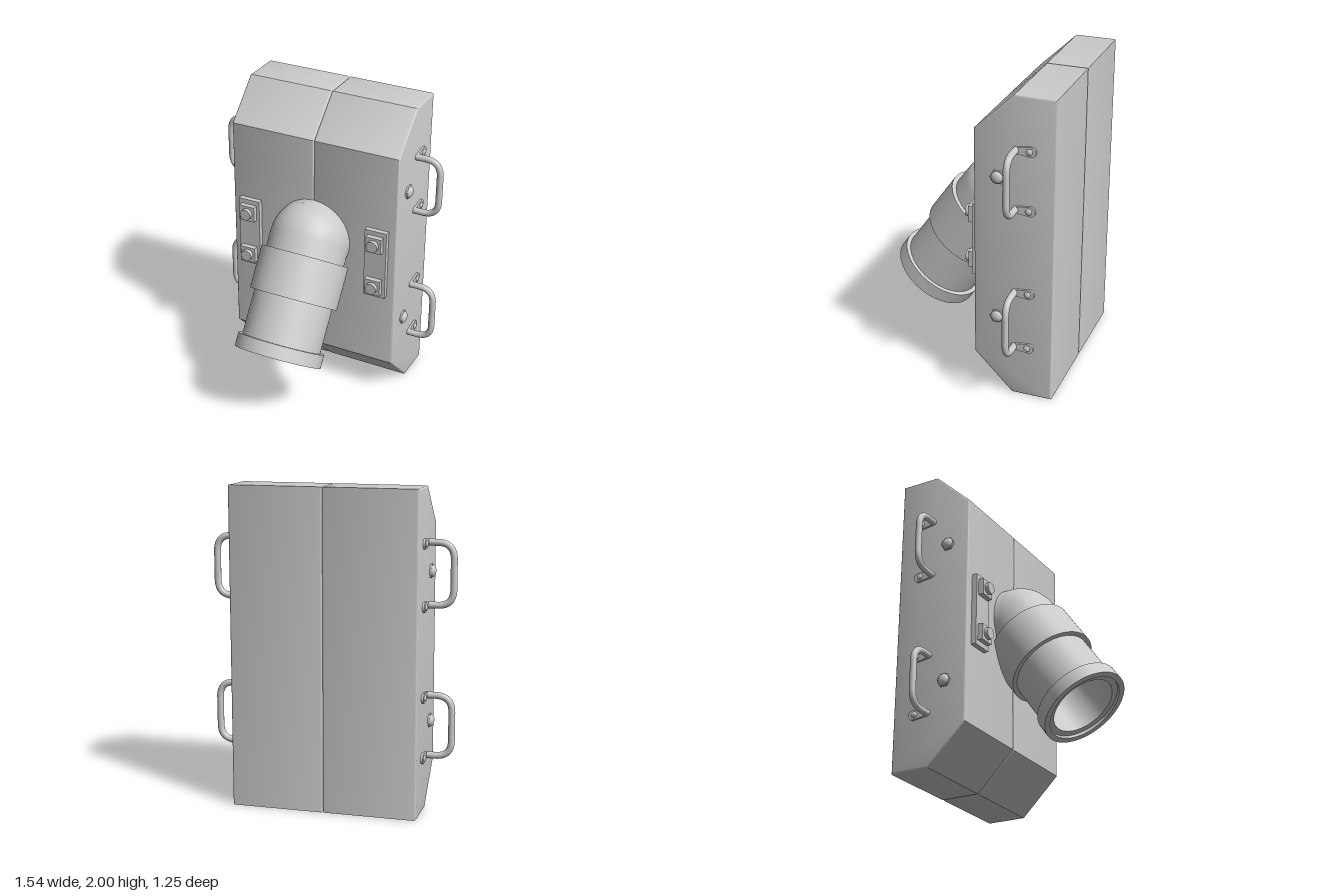
import * as THREE from 'three';
import { toCreasedNormals } from 'three/addons/utils/BufferGeometryUtils.js';

const grey = new THREE.MeshStandardMaterial({ color: 0xcccccc });
const W = 0.585; // half width of the case
const FRONT = -0.11; // front face of the case

function add(parent, name, geometry, x = 0, y = 0, z = 0) {
  const mesh = new THREE.Mesh(geometry, grey);
  mesh.name = name;
  mesh.position.set(x, y, z);
  parent.add(mesh);
  return mesh;
}

// One half of the case: chamfered side profile extruded across x
function caseHalfGeometry() {
  const b = 0.012;
  const shape = new THREE.Shape([
    [-0.62, 0], [-0.36, 0], [FRONT, 0.25], [FRONT, 1.76], [-0.36, 2], [-0.62, 2],
  ].map(([z, y]) => new THREE.Vector2(z, y)));
  const g = new THREE.ExtrudeGeometry(shape, {
    depth: W - 2 * b, bevelThickness: b, bevelSize: b, bevelOffset: -b, bevelSegments: 3,
  });
  g.translate(0, 0, b - W / 2);
  g.rotateY(-Math.PI / 2);
  return toCreasedNormals(g, 0.6);
}

// Slanted duct: bore, end flange, collar and tube turned around one axis
function addDuct(parent) {
  const duct = new THREE.Group();
  duct.name = 'duct';
  parent.add(duct);
  const profile = [
    [0, 0.7], [0.21, 0.7], [0.21, 0.02], [0.25, 0.02], [0.25, 0], [0.287, 0],
    [0.287, 0.09], [0.26, 0.09], [0.26, 0.388], [0.29, 0.388], [0.29, 0.672],
    [0.26, 0.672], [0.26, 0.787],
  ].map(([r, y]) => new THREE.Vector2(r, y));
  const tube = add(duct, 'ductTube',
    toCreasedNormals(new THREE.LatheGeometry(profile, 72), 0.6), 0, 0.435, 0.395);
  tube.rotation.x = -0.611;
  // Rounded elbow running level into the case
  add(duct, 'ductElbow', new THREE.SphereGeometry(0.26, 64, 40), 0, 1.08, -0.057);
  add(duct, 'ductInlet', new THREE.CylinderGeometry(0.26, 0.26, 0.12, 64).rotateX(Math.PI / 2),
    0, 1.08, -0.117);
}

// Front plate with two square pads and studs
function addBracket(parent, s) {
  const bracket = new THREE.Group();
  bracket.name = 'bracket';
  bracket.position.set(s * 0.455, 0, FRONT);
  parent.add(bracket);
  add(bracket, 'bracketPlate', new THREE.BoxGeometry(0.15, 0.48, 0.04), 0, 1.005, 0.015);
  for (const y of [0.85, 1.16]) {
    add(bracket, 'bracketPad', new THREE.BoxGeometry(0.107, 0.107, 0.04), 0, y, 0.05);
    add(bracket, 'bracketStud',
      new THREE.CylinderGeometry(0.038, 0.038, 0.03, 32).rotateX(Math.PI / 2), 0, y, 0.08);
  }
}

// Domed cap whose axis points out along x on side s
function domeGeometry(radius, height, s) {
  return new THREE.SphereGeometry(radius, 24, 8, 0, Math.PI * 2, 0, Math.PI / 2)
    .scale(1, height / radius, 1).rotateZ(-s * Math.PI / 2);
}

// Flattened handle foot, lying against the side of the case
function footGeometry() {
  const shape = new THREE.Shape();
  shape.moveTo(-0.375, -0.02);
  shape.lineTo(-0.375, 0.02);
  shape.lineTo(-0.465, 0.032);
  shape.absarc(-0.47, 0, 0.032, Math.PI / 2, Math.PI * 1.5, false);
  shape.closePath();
  return new THREE.ExtrudeGeometry(shape, { depth: 0.016, bevelEnabled: false, curveSegments: 12 })
    .translate(0, 0, -0.008).rotateY(-Math.PI / 2);
}

function addHandle(parent, s, cy) {
  const handle = new THREE.Group();
  handle.name = 'handle';
  handle.position.set(s * W, cy, 0);
  parent.add(handle);
  const z = -0.375, out = 0.165, h = 0.19, c = 0.1;
  const p = (x, y) => new THREE.Vector3(s * x, y, z);
  // Bar with rounded corners
  const path = new THREE.CurvePath();
  path.add(new THREE.LineCurve3(p(0, -h), p(out - c, -h)));
  path.add(new THREE.QuadraticBezierCurve3(p(out - c, -h), p(out, -h), p(out, c - h)));
  path.add(new THREE.LineCurve3(p(out, c - h), p(out, h - c)));
  path.add(new THREE.QuadraticBezierCurve3(p(out, h - c), p(out, h), p(out - c, h)));
  path.add(new THREE.LineCurve3(p(out - c, h), p(0, h)));
  add(handle, 'handleBar', new THREE.TubeGeometry(path, 64, 0.021, 16));
  for (const y of [-h, h]) {
    add(handle, 'handleFoot', footGeometry(), s * 0.006, y, 0);
    add(handle, 'handleRivet', domeGeometry(0.021, 0.012, s), s * 0.013, y, -0.46);
  }
}

// Round washer with a hexagonal nut and domed tip
function addSideBolt(parent, s, y) {
  const bolt = new THREE.Group();
  bolt.name = 'sideBolt';
  bolt.position.set(s * W, y, -0.26);
  parent.add(bolt);
  add(bolt, 'boltWasher',
    new THREE.CylinderGeometry(0.046, 0.046, 0.012, 6).rotateZ(Math.PI / 2), s * 0.006);
  add(bolt, 'boltHead', domeGeometry(0.038, 0.022, s), s * 0.011);
}

export function createModel() {
  const model = new THREE.Group();
  model.name = 'ductedCase';
  const half = caseHalfGeometry();
  addDuct(model);
  for (const s of [-1, 1]) {
    add(model, s > 0 ? 'leftCaseHalf' : 'rightCaseHalf', half, s * W / 2);
    addBracket(model, s);
    for (const y of [0.537, 1.475]) {
      addHandle(model, s, y);
      addSideBolt(model, s, y);
    }
  }
  return model;
}
